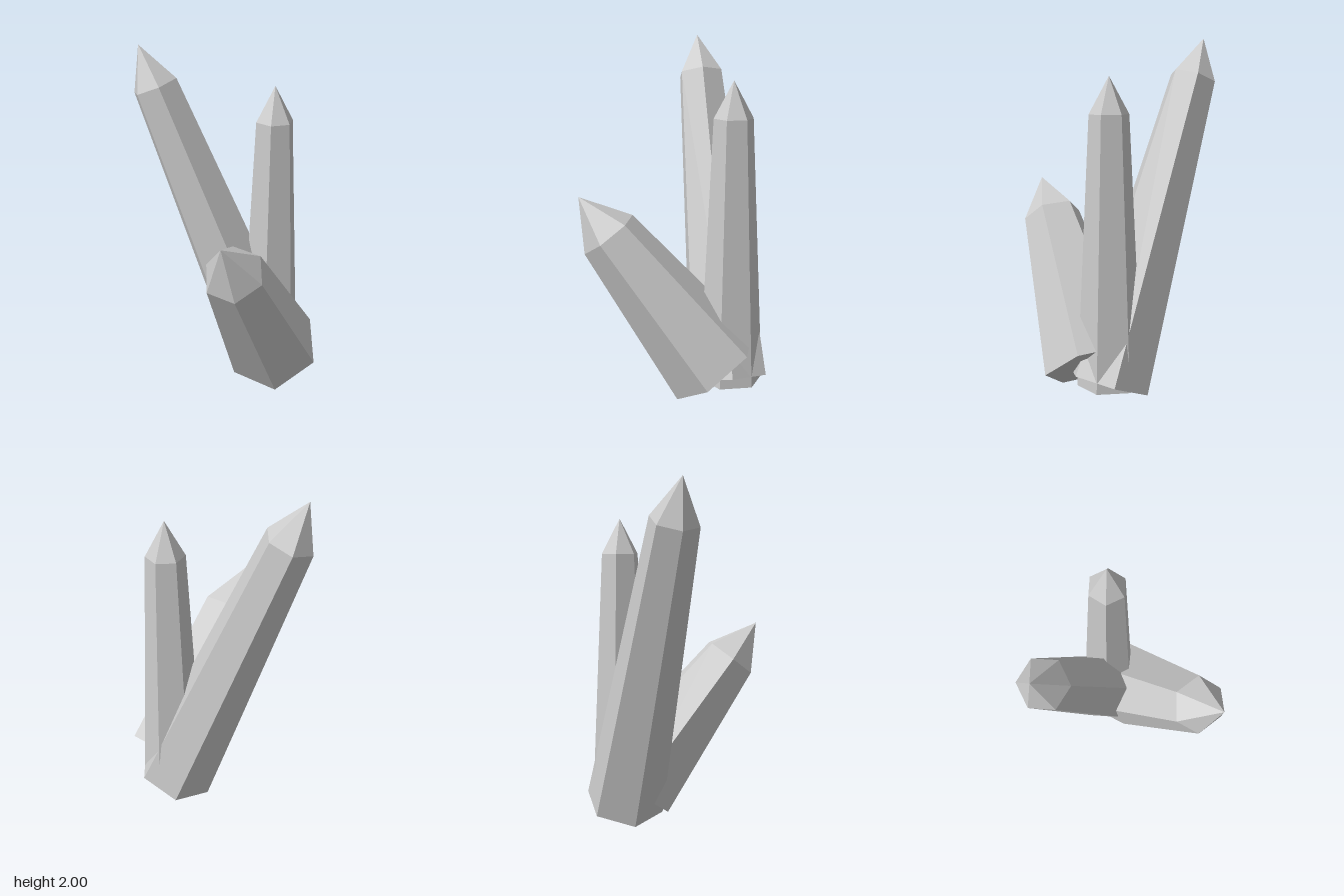
import * as THREE from 'three';

const material = new THREE.MeshStandardMaterial({ color: 0xcccccc, flatShading: true });

// Six-sided tapering crystal from the base centre to the tip.
// spoke: direction of one base corner; shoulder: fraction of the length where the point begins.
function crystal({ name, base, tip, spoke, baseRadius, shoulderRadius, shoulder }) {
  const start = new THREE.Vector3(...base);
  const axis = new THREE.Vector3(...tip).sub(start);
  const length = axis.length();
  axis.normalize();

  const profile = [
    new THREE.Vector2(0, 0),
    new THREE.Vector2(baseRadius, 0),
    new THREE.Vector2(shoulderRadius, length * shoulder),
    new THREE.Vector2(0, length),
  ];
  const mesh = new THREE.Mesh(new THREE.LatheGeometry(profile, 6), material);
  mesh.name = name;

  // Orient: local y along the axis, local z through a corner
  const side = new THREE.Vector3().crossVectors(axis, new THREE.Vector3(...spoke)).normalize();
  const corner = new THREE.Vector3().crossVectors(side, axis);
  mesh.quaternion.setFromRotationMatrix(new THREE.Matrix4().makeBasis(side, axis, corner));
  mesh.position.copy(start);
  return mesh;
}

export function createModel() {
  const group = new THREE.Group();
  group.name = 'crystalCluster';
  group.add(
    // Upright crystal
    crystal({
      name: 'uprightCrystal', base: [0.28, 0.09, 0.105], tip: [0.28, 1.79, 0.105],
      spoke: [0, 0, 1], baseRadius: 0.182, shoulderRadius: 0.109, shoulder: 0.882,
    }),
    // Tall crystal leaning backwards
    crystal({
      name: 'tallBackCrystal', base: [0.26, 0.085, 0.105], tip: [-0.175, 2, -0.51],
      spoke: [0.23, 0.055, 0], baseRadius: 0.238, shoulderRadius: 0.137, shoulder: 0.882,
    }),
    // Short thick crystal leaning to the side and front
    crystal({
      name: 'shortFrontCrystal', base: [0.215, 0.18, 0.185], tip: [-0.5, 1.16, 0.43],
      spoke: [0.23, 0.13, 0.11], baseRadius: 0.286, shoulderRadius: 0.171, shoulder: 0.785,
    }),
  );
  return group;
}
